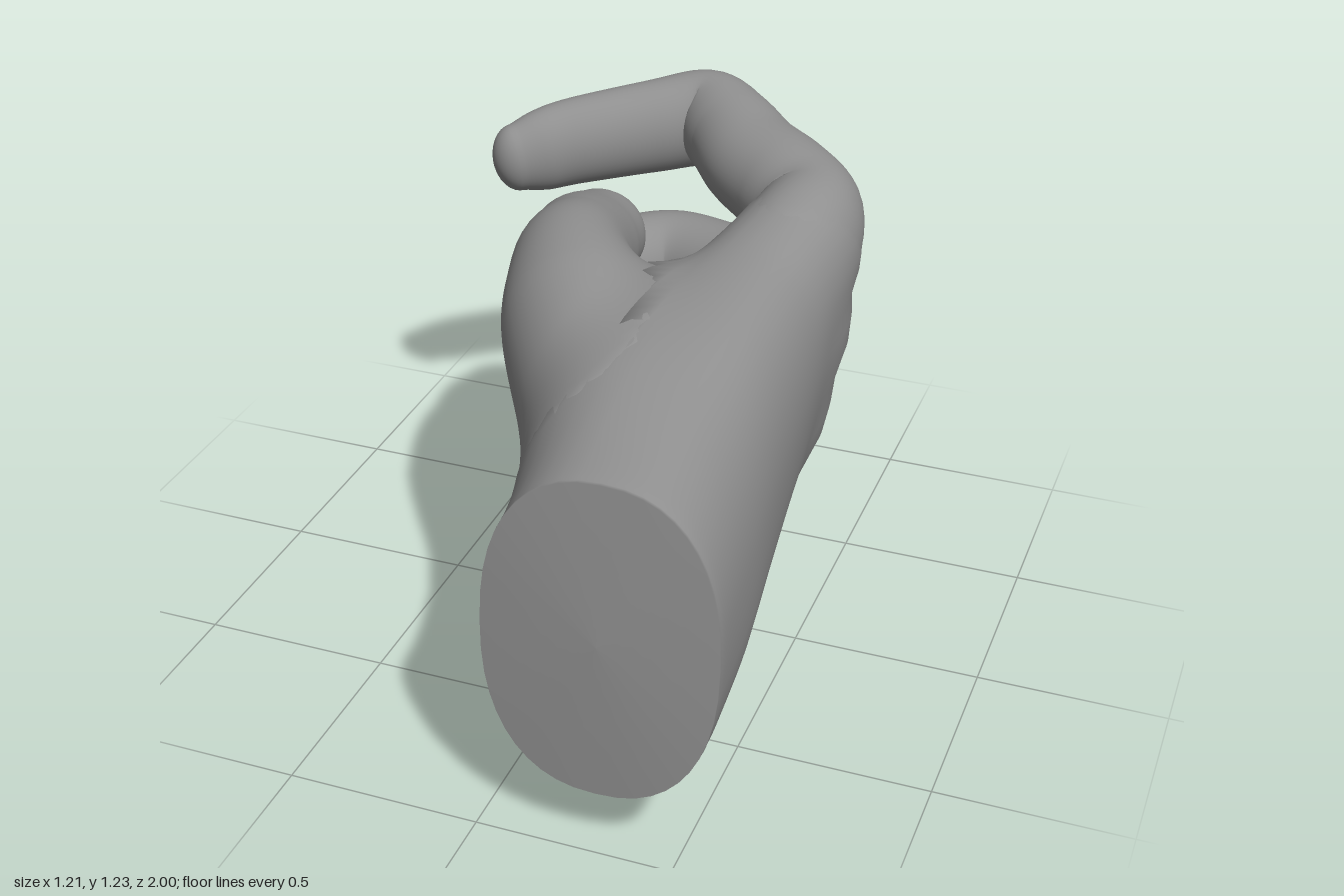
import * as THREE from 'three';

const SIDES = 44;
const UP = new THREE.Vector3(0, 1, 0);
const ROUND = 0.85; // section roundness of the palm, 1 is an ellipse

// Skin a list of rings (each SIDES points) into one smooth surface.
function loft(rings) {
  const pos = [], idx = [];
  rings.forEach((ring, i) => ring.forEach((p, j) => {
    pos.push(p.x, p.y, p.z);
    if (i === rings.length - 1) return;
    const a = i * SIDES + j, b = i * SIDES + (j + 1) % SIDES;
    const c = a + SIDES, d = b + SIDES;
    idx.push(a, c, b, b, c, d);
  }));
  const g = new THREE.BufferGeometry();
  g.setAttribute('position', new THREE.Float32BufferAttribute(pos, 3));
  g.setIndex(idx);
  g.computeVertexNormals();
  return g;
}

const ringOf = (fn) => Array.from({ length: SIDES }, (_, j) => fn((j / SIDES) * Math.PI * 2));

// Curve through three chosen columns of a key table.
const track = (keys, i, j, k) => new THREE.CatmullRomCurve3(
  keys.map((r) => new THREE.Vector3(r[i], r[j], r[k] ?? 0)), false, 'catmullrom', 0.5);

// Digit: oval section swept along a curve with a rounded tip.
// Each key is [x, y, z, half width, half height]; web is the width of its blend into the palm.
function digit(keys, web) {
  const path = track(keys, 0, 1, 2), size = track(keys, 3, 4);
  const rings = [], cores = [];
  const addRing = (c, t, h, v) => {
    const side = new THREE.Vector3().crossVectors(t, UP).normalize();
    const up = new THREE.Vector3().crossVectors(side, t).normalize();
    rings.push(ringOf((a) => c.clone()
      .addScaledVector(side, h * Math.cos(a))
      .addScaledVector(up, v * Math.sin(a))));
  };
  const steps = (keys.length - 1) * 8;
  for (let i = 0; i <= steps; i++) {
    const c = path.getPoint(i / steps), s = size.getPoint(i / steps);
    addRing(c, path.getTangent(i / steps), s.x, s.y);
    cores.push({ c, h: s.x, v: s.y });
  }
  const end = path.getPoint(1), t = path.getTangent(1), last = keys[keys.length - 1];
  for (let k = 1; k <= 8; k++) {
    const a = (k / 8) * Math.PI / 2, c = Math.max(Math.cos(a), 0.002);
    addRing(end.clone().addScaledVector(t, last[3] * Math.sin(a)), t, last[3] * c, last[4] * c);
  }
  // approximate distance to the digit
  const distance = (p) => cores.reduce((best, { c, h, v }) => {
    const flat = (p.x - c.x) ** 2 + (p.z - c.z) ** 2, rise = (p.y - c.y) ** 2;
    const r = Math.sqrt(flat / (h * h) + rise / (v * v));
    return Math.min(best, (r - 1) * Math.sqrt(flat + rise + 1e-9) / (r + 1e-6));
  }, 9);
  return { geometry: loft(rings), distance, web };
}

// Palm and wrist: rounded sections along z, leaning with height.
// Each key is [z, x min, x max, y min, y max, lean].
function palm() {
  const keys = [
    [0.98, 0.02, 0.60, 0.18, 1.00, 0],
    [0.90, 0.02, 0.595, 0.17, 1.01, 0],
    [0.60, 0.01, 0.565, 0.14, 1.04, 0.01],
    [0.30, 0.00, 0.53, 0.105, 1.075, 0.07],
    [0.00, -0.035, 0.50, 0.085, 1.10, 0.14],
    [-0.20, -0.005, 0.48, 0.08, 1.115, 0.18],
    [-0.38, 0.06, 0.465, 0.075, 1.12, 0.19],
    [-0.50, 0.11, 0.43, 0.09, 1.10, 0.19],
    [-0.58, 0.15, 0.38, 0.13, 1.05, 0.19],
    [-0.63, 0.22, 0.32, 0.22, 0.97, 0.19],
  ];
  const across = track(keys, 0, 1, 2), heights = track(keys, 3, 4, 5);
  const steps = (keys.length - 1) * 7;
  const spans = Array.from({ length: steps + 1 }, (_, i) => {
    const p = across.getPoint(i / steps), q = heights.getPoint(i / steps);
    return [p.x, (p.y + p.z) / 2, (p.z - p.y) / 2, (q.x + q.y) / 2, (q.y - q.x) / 2, q.z];
  });
  const round = (v) => Math.sign(v) * Math.pow(Math.abs(v), ROUND);
  const section = ([z, cx, hw, cy, hh, lean], k) => ringOf((a) => {
    const y = cy + k * hh * round(Math.sin(a));
    const x = cx + k * hw * round(Math.cos(a)) + lean * (y - 0.6);
    // the cut face of the wrist is slightly tilted
    const tilt = Math.max(0, z - 0.7) / 0.28;
    return new THREE.Vector3(x, y, z - 0.05 * (y - 0.59) * tilt);
  });
  const first = spans[0], last = spans[steps];
  const rings = [section(first, 0.001), ...spans.map((s) => section(s, 1)), section(last, 0.001)];

  // approximate distance to the palm
  const distance = (p) => {
    let i = 1;
    while (i < steps && spans[i][0] > p.z) i++;
    const f = THREE.MathUtils.clamp((p.z - spans[i - 1][0]) / (spans[i][0] - spans[i - 1][0]), 0, 1);
    const [, cx, hw, cy, hh, lean] = spans[i].map((v, n) => THREE.MathUtils.lerp(spans[i - 1][n], v, f));
    const dx = p.x - cx - lean * (p.y - 0.6), dy = p.y - cy, n = 2 / ROUND;
    const r = (Math.abs(dx / hw) ** n + Math.abs(dy / hh) ** n) ** (1 / n);
    return Math.max((r - 1) * Math.hypot(dx, dy) / (r + 1e-6), last[0] - p.z);
  };
  return { geometry: loft(rings), distance };
}

// Raise the skin of a part where it meets others, so the joint becomes a soft web.
// Each other is [distance function, web width].
function blend(geometry, others) {
  const pos = geometry.attributes.position, nor = geometry.attributes.normal;
  const p = new THREE.Vector3(), n = new THREE.Vector3(), q = new THREE.Vector3();
  for (let i = 0; i < pos.count; i++) {
    p.fromBufferAttribute(pos, i);
    n.fromBufferAttribute(nor, i);
    const near = others.map(([dist, web]) => [dist, web, dist(p)]).filter(([, web, d]) => d < web);
    const depth = Math.min(...near.map((o) => o[2]));
    if (!near.length || depth < -0.06) continue;
    let t = 0;
    for (let step = 0; step < 7; step++) {
      q.copy(p).addScaledVector(n, t);
      const gap = Math.min(...near.map(([dist, web]) => {
        const d = dist(q), h = Math.max(web - Math.abs(t - d), 0) / web;
        return Math.min(t, d) - h * h * web / 4;
      }));
      t = THREE.MathUtils.clamp(t - 0.8 * gap, 0, 0.07);
    }
    p.addScaledVector(n, t * THREE.MathUtils.smoothstep(depth, -0.06, 0));
    pos.setXYZ(i, p.x, p.y, p.z);
  }
  geometry.computeVertexNormals();
}

export function createModel() {
  const skin = new THREE.MeshStandardMaterial({ color: 0x909090 });
  skin.name = 'grey skin';
  const palmPart = palm();
  const digits = {
    // Thumb, with the ball of the palm at its root
    thumb: digit([
      [0.27, 0.72, 0.80, 0.14, 0.16], [0.17, 0.77, 0.55, 0.18, 0.23],
      [0.05, 0.825, 0.30, 0.21, 0.25], [-0.085, 0.905, 0.08, 0.205, 0.225],
      [-0.17, 0.945, -0.08, 0.165, 0.185], [-0.21, 0.925, -0.22, 0.148, 0.165],
      [-0.25, 0.885, -0.37, 0.15, 0.15], [-0.26, 0.86, -0.49, 0.135, 0.13],
    ], 0.17),
    // Index finger, loosely bent
    indexFinger: digit([
      [0.31, 0.88, -0.05, 0.08, 0.10], [0.33, 0.93, -0.20, 0.115, 0.14],
      [0.35, 0.985, -0.37, 0.138, 0.16], [0.345, 1.01, -0.50, 0.148, 0.16],
      [0.25, 1.04, -0.595, 0.15, 0.15], [0.13, 1.06, -0.69, 0.147, 0.14],
      [0.03, 1.08, -0.80, 0.135, 0.14], [-0.07, 1.09, -0.875, 0.12, 0.14],
      [-0.21, 1.07, -0.81, 0.105, 0.135], [-0.40, 1.045, -0.69, 0.095, 0.127],
      [-0.48, 1.03, -0.625, 0.085, 0.12], [-0.535, 1.02, -0.575, 0.07, 0.10],
    ], 0.1),
    // Middle and ring fingers, curled back towards the palm
    middleFinger: digit([
      [0.31, 0.74, -0.15, 0.10, 0.12], [0.32, 0.73, -0.43, 0.14, 0.145],
      [0.21, 0.72, -0.60, 0.14, 0.14], [0.02, 0.71, -0.705, 0.13, 0.137],
      [-0.14, 0.705, -0.73, 0.125, 0.137], [-0.28, 0.695, -0.61, 0.12, 0.135],
      [-0.325, 0.68, -0.43, 0.115, 0.13], [-0.27, 0.665, -0.28, 0.105, 0.12],
      [-0.24, 0.66, -0.225, 0.085, 0.105],
    ], 0.1),
    ringFinger: digit([
      [0.27, 0.49, -0.15, 0.10, 0.12], [0.275, 0.48, -0.43, 0.14, 0.145],
      [0.18, 0.46, -0.60, 0.14, 0.138], [0.01, 0.45, -0.705, 0.13, 0.127],
      [-0.11, 0.45, -0.715, 0.122, 0.125], [-0.21, 0.455, -0.60, 0.117, 0.122],
      [-0.235, 0.46, -0.44, 0.112, 0.12], [-0.17, 0.46, -0.31, 0.10, 0.11],
      [-0.14, 0.46, -0.26, 0.083, 0.095],
    ], 0.1),
    // Little finger, dropped lower than the rest
    littleFinger: digit([
      [0.24, 0.38, -0.05, 0.08, 0.10], [0.22, 0.28, -0.28, 0.11, 0.13],
      [0.195, 0.20, -0.43, 0.128, 0.145], [0.15, 0.145, -0.535, 0.128, 0.142],
      [0.05, 0.15, -0.59, 0.118, 0.13], [-0.10, 0.18, -0.60, 0.11, 0.12],
      [-0.21, 0.20, -0.52, 0.105, 0.112], [-0.24, 0.23, -0.40, 0.098, 0.107],
      [-0.245, 0.26, -0.30, 0.09, 0.10], [-0.245, 0.27, -0.26, 0.078, 0.085],
    ], 0.1),
  };

  const hand = new THREE.Group();
  hand.name = 'hand';
  const add = (name, geometry, others) => {
    blend(geometry, others);
    const mesh = new THREE.Mesh(geometry, skin);
    mesh.name = name;
    hand.add(mesh);
  };
  add('palmAndWrist', palmPart.geometry, Object.values(digits).map((d) => [d.distance, d.web]));
  for (const [name, d] of Object.entries(digits)) add(name, d.geometry, [[palmPart.distance, d.web]]);
  return hand;
}
